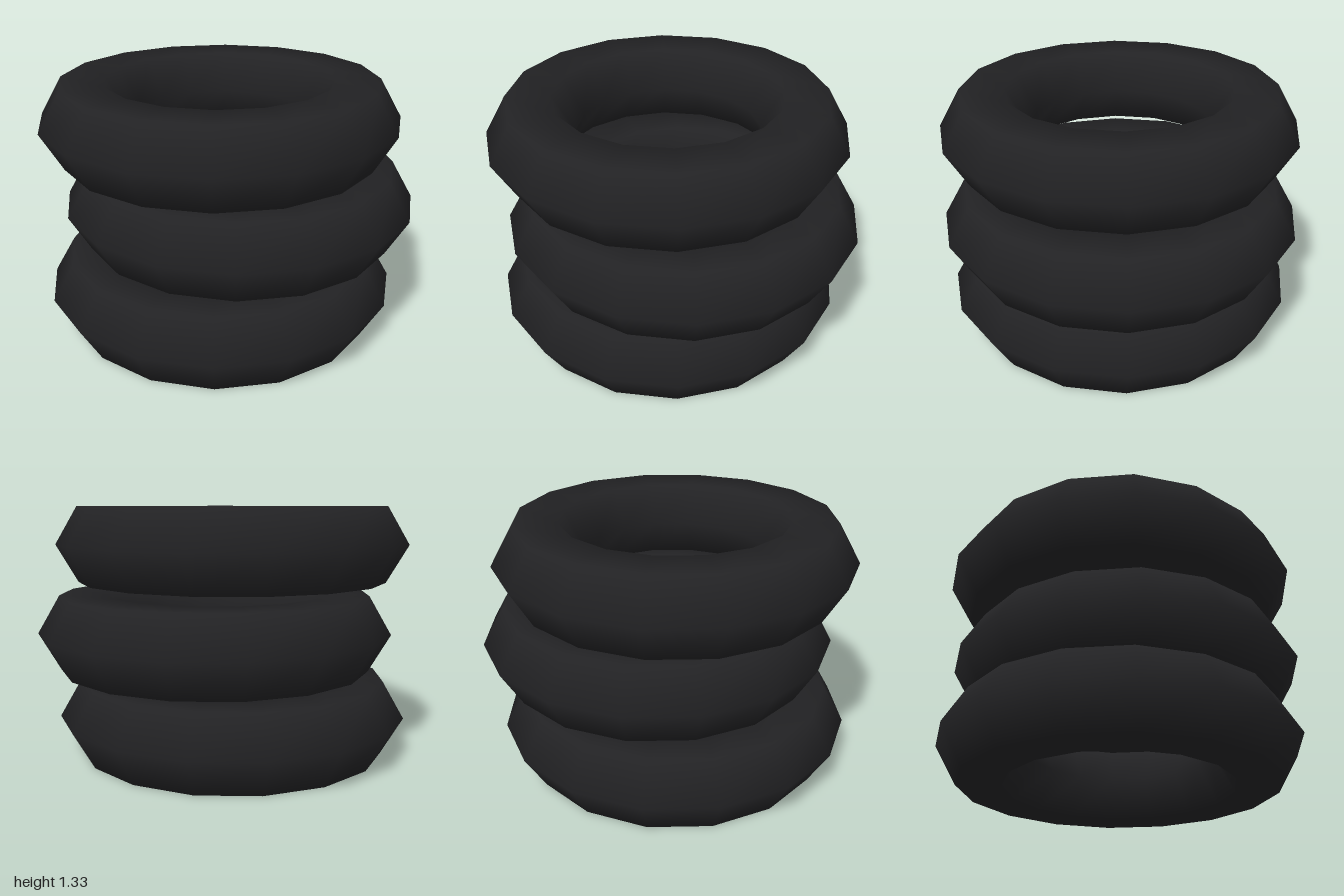
import * as THREE from 'three';

// A loose stack of three tyres, alternately shifted sideways
export function createModel() {
  const group = new THREE.Group();
  group.name = 'tyreStack';

  const ringRadius = 0.714;
  const tubeRadius = 0.231;
  const shift = 0.055;
  const firstHeight = 0.2;
  const spacing = 0.465;

  const rubber = new THREE.MeshStandardMaterial({ color: 0x222224 });

  // Hexagonal tube swept round 16 steps, laid flat
  const tyre = new THREE.TorusGeometry(ringRadius, tubeRadius, 6, 16);
  tyre.rotateX(-Math.PI / 2);

  ['bottomTyre', 'middleTyre', 'topTyre'].forEach((name, i) => {
    const mesh = new THREE.Mesh(tyre, rubber);
    mesh.name = name;
    mesh.position.set(i % 2 ? shift : -shift, firstHeight + i * spacing, 0);
    group.add(mesh);
  });

  return group;
}
